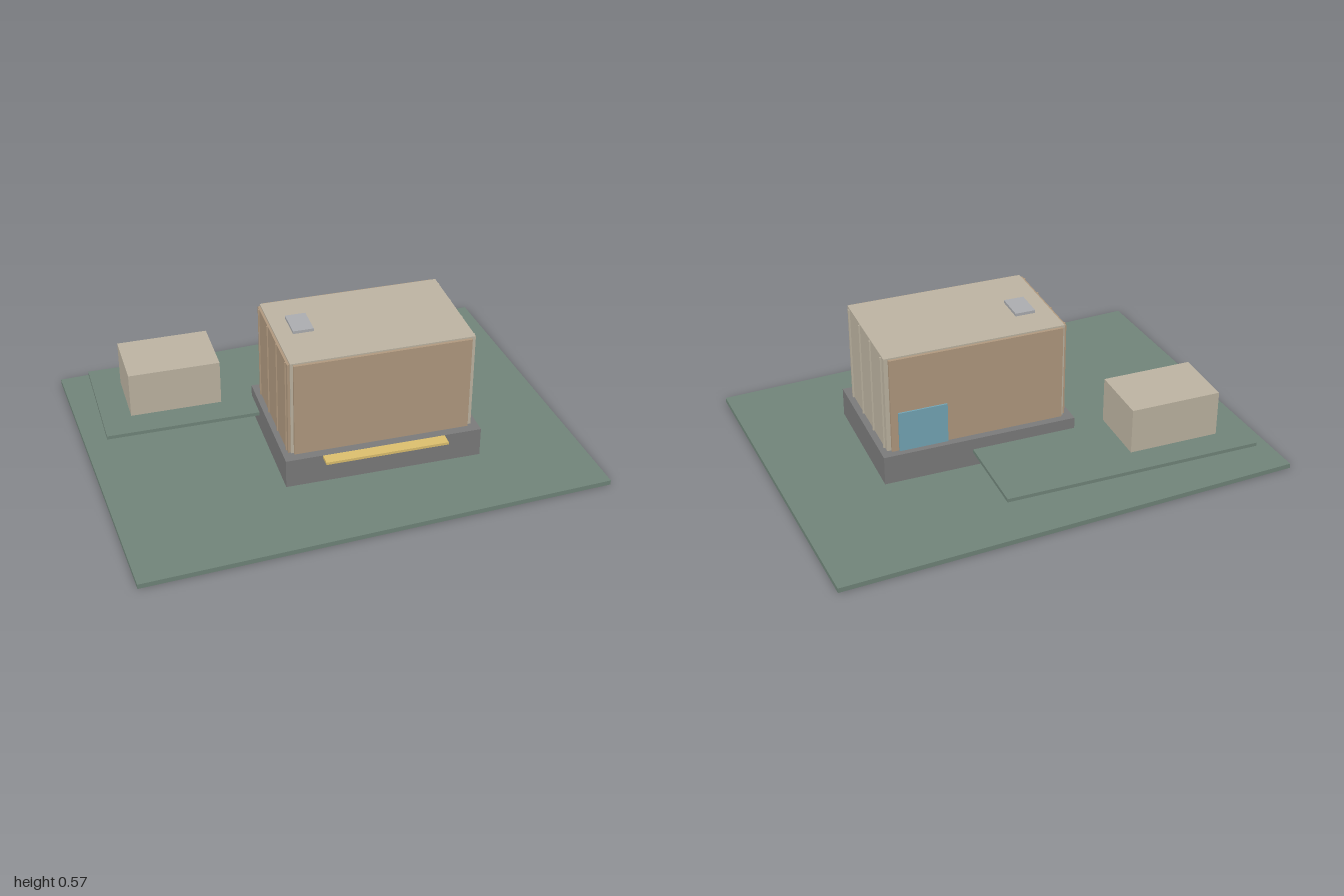
import * as THREE from 'three';

const COLORS = {
  green: 0x71857a, stone: 0x7b7b7b, beige: 0xbdb4a2, brown: 0xb0997f,
  yellow: 0xdcbf6e, glass: 0x74a5b5, skylight: 0xacadb0,
};

export function createModel() {
  const group = new THREE.Group();
  const materials = {};
  for (const key in COLORS) {
    materials[key] = new THREE.MeshStandardMaterial({ color: COLORS[key], flatShading: true });
  }

  // Box given by its lower and upper limits on each axis
  function block(name, color, [x0, x1], [y0, y1], [z0, z1], parent = group) {
    const mesh = new THREE.Mesh(new THREE.BoxGeometry(x1 - x0, y1 - y0, z1 - z0), materials[color]);
    mesh.position.set((x0 + x1) / 2, (y0 + y1) / 2, (z0 + z1) / 2);
    mesh.name = name;
    parent.add(mesh);
    return mesh;
  }

  // Plot of land, turned slightly against the building
  const ground = block('ground', 'green', [-0.959, 0.959], [0, 0.02], [-0.72, 0.72]);
  ground.rotation.y = 0.055;

  // Raised terrace with the small outbuilding
  block('terrace', 'green', [-0.885, 0.19], [0.08, 0.095], [-0.58, -0.075]);
  block('outbuilding', 'beige', [-0.765, -0.385], [0.095, 0.288], [-0.46, -0.195]);

  // Podium and the long front ledge
  block('podium', 'stone', [-0.25, 0.56], [0.02, 0.143], [-0.21, 0.355]);
  block('frontLedge', 'yellow', [-0.1, 0.405], [0.132, 0.143], [0.355, 0.405]);

  // Main house: core with cladding on three sides
  const house = new THREE.Group();
  house.name = 'house';
  group.add(house);
  const wall = [0.143, 0.55];
  block('core', 'beige', [-0.216, 0.533], [0.143, 0.556], [-0.167, 0.306], house);
  block('frontCladding', 'brown', [-0.205, 0.516], wall, [0.306, 0.318], house);
  block('backCladding', 'brown', [-0.205, 0.516], wall, [-0.179, -0.167], house);
  block('sideCladding', 'brown', [-0.226, -0.216], wall, [-0.16, 0.3], house);

  // Upright battens dividing both end walls into three bays
  for (let i = 0; i < 4; i++) {
    const z = -0.137 + i * 0.138;
    block('rightBatten', 'brown', [-0.231, -0.226], wall, [z - 0.004, z + 0.004], house);
    block('leftBatten', 'beige', [0.533, 0.539], wall, [z - 0.004, z + 0.004], house);
  }

  // Glazed back door and roof light
  block('backDoor', 'glass', [0.285, 0.487], [0.143, 0.315], [-0.186, -0.179], house);
  block('roofLight', 'skylight', [-0.147, -0.063], [0.556, 0.568], [-0.03, 0.096], house);

  return group;
}
